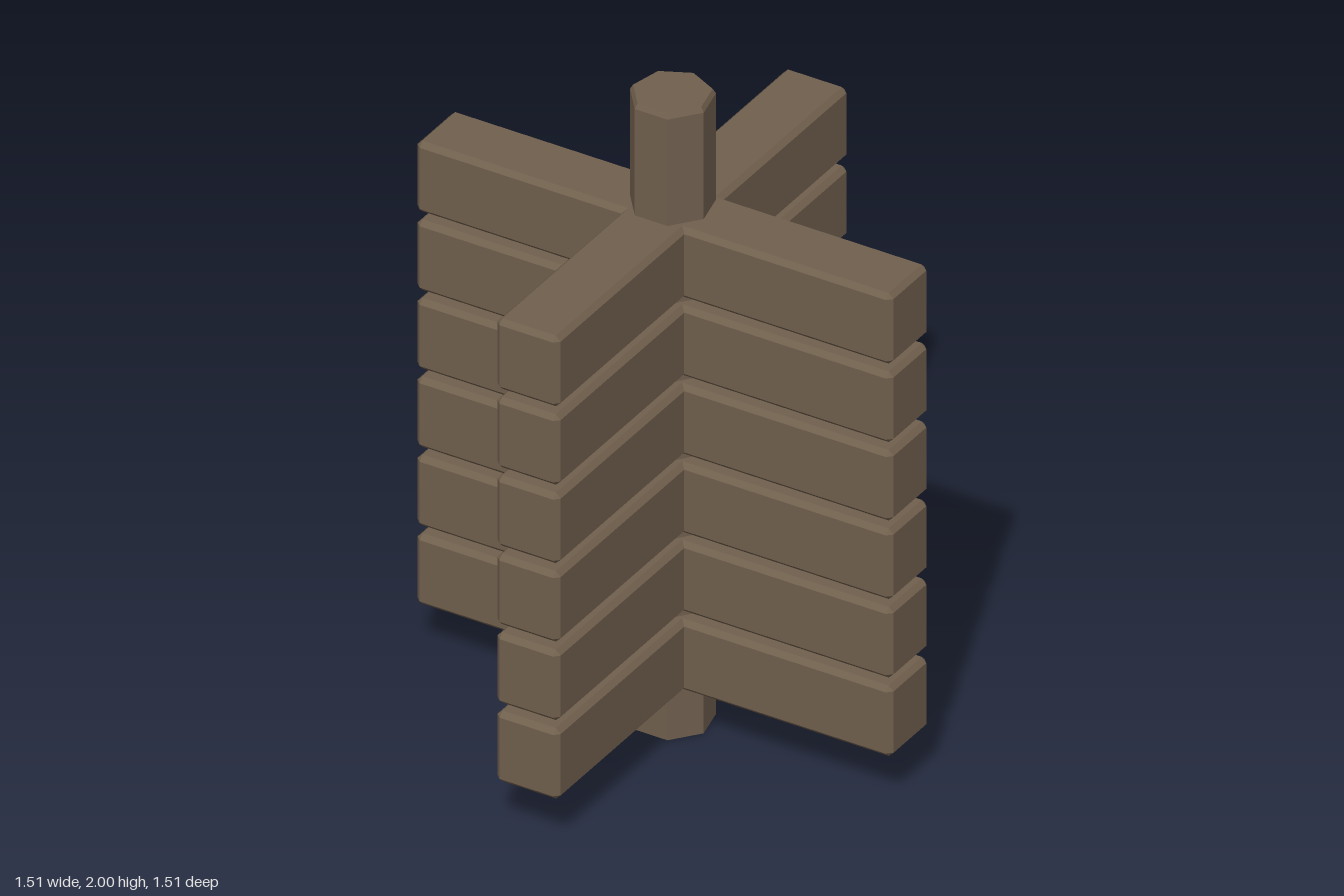
import * as THREE from 'three';
import { ConvexGeometry } from 'three/addons/geometries/ConvexGeometry.js';

// Box with every edge cut by a flat chamfer c
function chamferedBox(w, h, d, c) {
  const points = [];
  for (const sx of [-1, 1]) for (const sy of [-1, 1]) for (const sz of [-1, 1]) {
    const x = w / 2, y = h / 2, z = d / 2;
    points.push(
      new THREE.Vector3(sx * x, sy * (y - c), sz * (z - c)),
      new THREE.Vector3(sx * (x - c), sy * y, sz * (z - c)),
      new THREE.Vector3(sx * (x - c), sy * (y - c), sz * z)
    );
  }
  return new ConvexGeometry(points);
}

export function createModel() {
  const model = new THREE.Group();
  model.name = 'crossedBeamStack';
  const wood = new THREE.MeshStandardMaterial({ color: 0x705f4d, flatShading: true });
  wood.name = 'brown wood';

  // Seven-sided post, chamfered at the top, one corner facing the back
  const profile = [[0, 0], [0.12, 0], [0.12, 1.985], [0.111, 2], [0, 2]]
    .map(([r, y]) => new THREE.Vector2(r, y));
  const post = new THREE.Mesh(new THREE.LatheGeometry(profile, 7, Math.PI), wood);
  post.name = 'post';
  model.add(post);

  // Six layers, each of two beams crossing at the post
  const beamGeometry = chamferedBox(1.51, 0.226, 0.2, 0.015);
  for (let i = 0; i < 6; i++) {
    const layer = new THREE.Group();
    layer.name = `beamLayer${i + 1}`;
    layer.position.y = 0.277 + i * 0.251;
    ['sideBeam', 'frontBackBeam'].forEach((name, k) => {
      const beam = new THREE.Mesh(beamGeometry, wood);
      beam.name = name;
      beam.rotation.y = k * Math.PI / 2;
      layer.add(beam);
    });
    model.add(layer);
  }
  return model;
}
